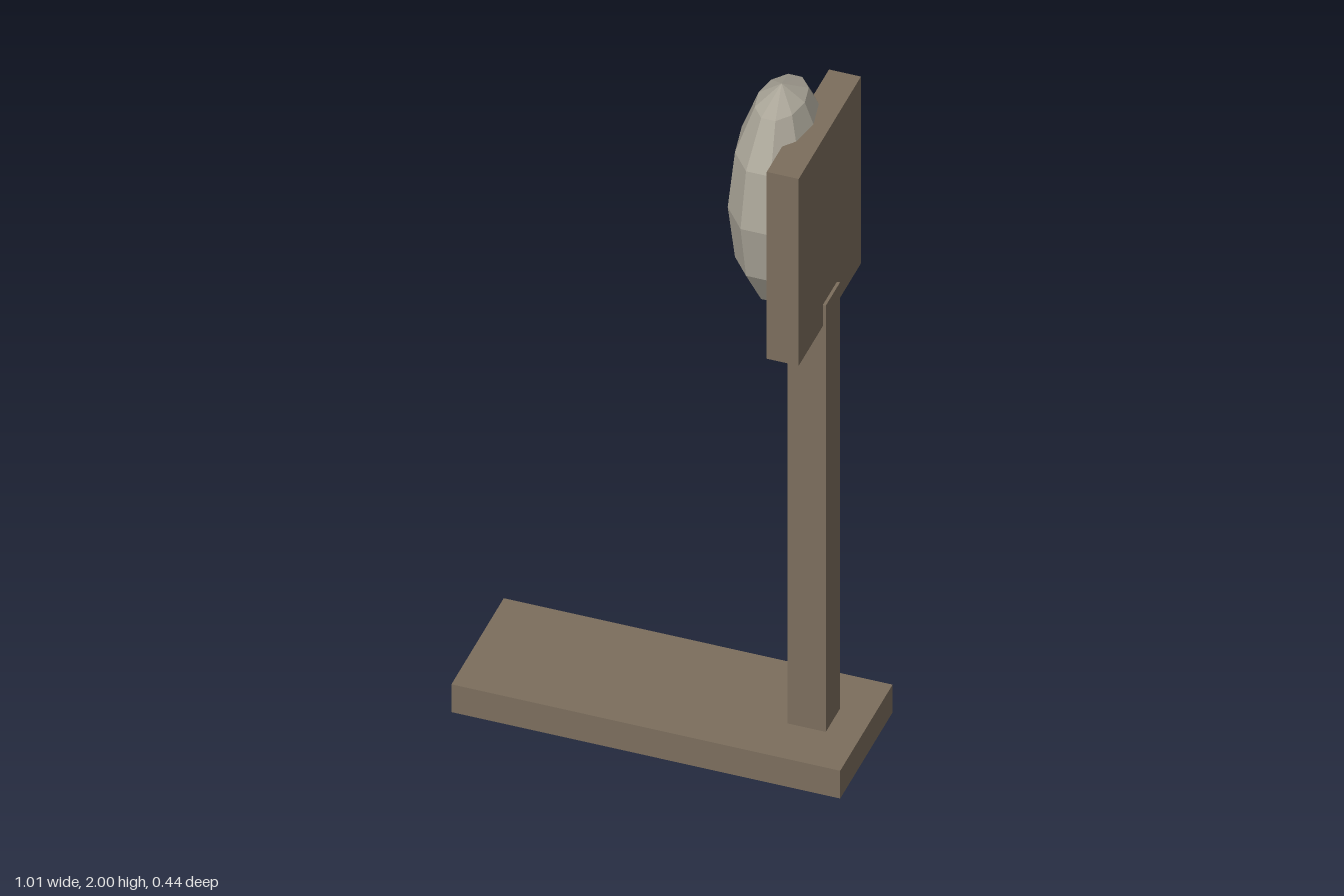
import * as THREE from 'three';

export function createModel() {
  const group = new THREE.Group();
  const wood = new THREE.MeshStandardMaterial({ name: 'wood', color: 0x7c6e5d });
  const stone = new THREE.MeshStandardMaterial({ name: 'paleGrey', color: 0xaaa598, flatShading: true });

  // Box given by its min and max corners along x and y, and its depth along z
  function board(name, x0, x1, y0, y1, depth) {
    const mesh = new THREE.Mesh(new THREE.BoxGeometry(x1 - x0, y1 - y0, depth), wood);
    mesh.position.set((x0 + x1) / 2, (y0 + y1) / 2, 0);
    mesh.name = name;
    group.add(mesh);
  }

  board('base', -0.505, 0.505, 0, 0.085, 0.37);
  board('post', 0.318, 0.418, 0.08, 1.39, 0.1);
  board('backPlate', 0.327, 0.41, 1.325, 1.897, 0.44);

  // Faceted oval pad, partly sunk into the plate
  const pad = new THREE.Mesh(new THREE.SphereGeometry(1, 10, 6), stone);
  pad.name = 'ovalPad';
  pad.scale.set(0.12, 0.32, 0.2);
  pad.position.set(0.285, 1.68, 0);
  group.add(pad);

  return group;
}
